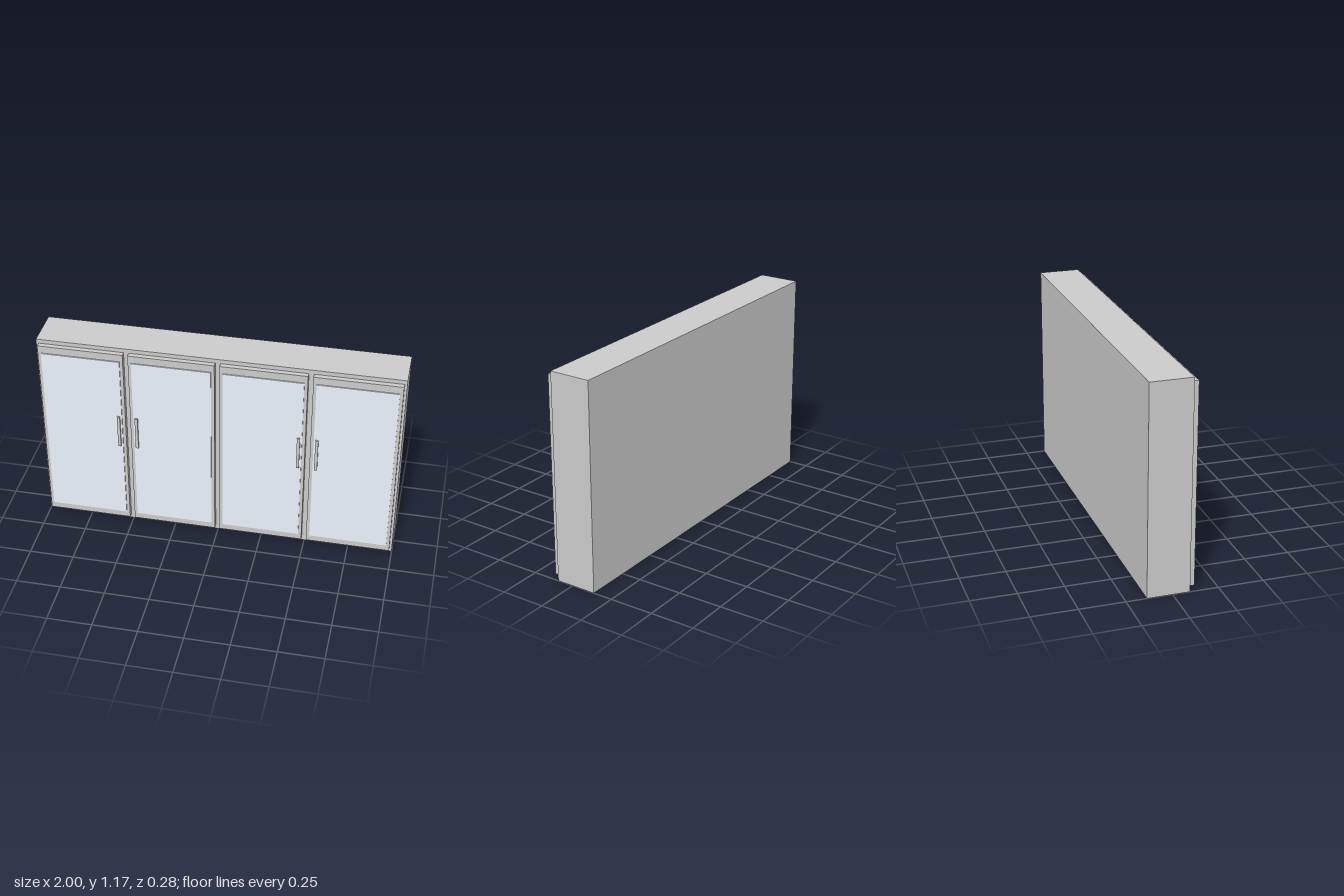
import * as THREE from 'three';

const grey = new THREE.MeshStandardMaterial({ color: 0xcccccc });
const glass = new THREE.MeshStandardMaterial({ color: 0xebf2fa });

// Box given by its lower and upper bounds on each axis
function box(name, [x0, x1], [y0, y1], [z0, z1], material = grey) {
  const mesh = new THREE.Mesh(new THREE.BoxGeometry(x1 - x0, y1 - y0, z1 - z0), material);
  mesh.name = name;
  mesh.position.set((x0 + x1) / 2, (y0 + y1) / 2, (z0 + z1) / 2);
  return mesh;
}

// Door with a raised pane and a handle, centred on x = 0
function createDoor(handleX) {
  const door = new THREE.Group();
  door.name = 'door';
  door.add(
    box('doorPanel', [-0.236, 0.236], [0.027, 1.143], [0.095, 0.123]),
    box('glassPane', [-0.218, 0.218], [0.067, 1.1], [0.123, 0.129], glass),
    box('handle', [handleX - 0.008, handleX + 0.008], [0.545, 0.743], [0.129, 0.139])
  );
  return door;
}

export function createModel() {
  const model = new THREE.Group();
  model.name = 'cabinet';
  model.add(box('cabinetBody', [-1, 1], [0, 1.167], [-0.138, 0.095]));

  // Two pairs of doors, handles meeting in the middle of each pair
  for (const [x, handleX] of [[-0.75, 0.2], [-0.25, -0.2], [0.25, 0.2], [0.75, -0.2]]) {
    const door = createDoor(handleX);
    door.position.x = x;
    model.add(door);
  }
  return model;
}
